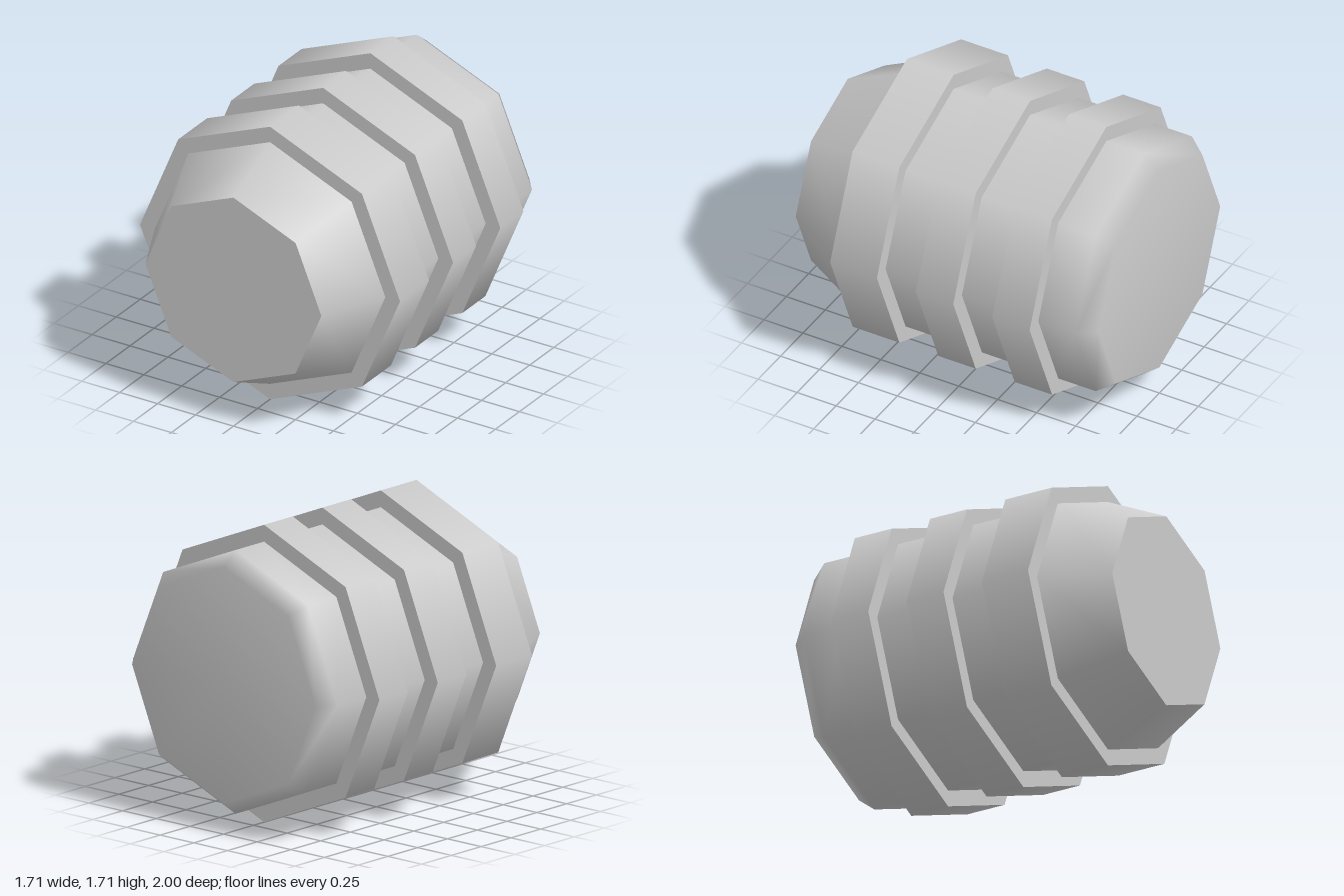
import * as THREE from 'three';

const SIDES = 8;
const BODY_R = 0.76;
const RING_R = 0.857;
const CENTRE_Y = RING_R * 1.0;

export function createModel() {
  const group = new THREE.Group();
  const material = new THREE.MeshStandardMaterial({ color: 0xcccccc });

  // turn the geometry's axis from y to z and add it
  const add = (name, geometry, z = 0) => {
    geometry.rotateX(Math.PI / 2);
    const mesh = new THREE.Mesh(geometry, material);
    mesh.name = name;
    mesh.position.set(0, CENTRE_Y, z);
    group.add(mesh);
  };

  // octagonal section between two z positions
  const section = (name, back, front, rBack, rFront, open = false) =>
    add(name, new THREE.CylinderGeometry(rFront, rBack, front - back, SIDES, 1, open), (front + back) / 2);

  // barrel and tapered nose with a flat front
  section('barrel', -0.66, 0.62, BODY_R, BODY_R, true);
  section('nose', 0.62, 1, BODY_R, 0.58);

  // back end with a softly shaded bevel
  const profile = [[0, -1], [0.68, -1], [BODY_R, -0.9], [BODY_R, -0.66]];
  add('backCap', new THREE.LatheGeometry(profile.map(([r, z]) => new THREE.Vector2(r, z)), SIDES));

  // raised rings
  [['frontRing', 0.32, 0.62], ['middleRing', -0.17, 0.07], ['backRing', -0.66, -0.42]]
    .forEach(([name, back, front]) => section(name, back, front, RING_R, RING_R));

  return group;
}
